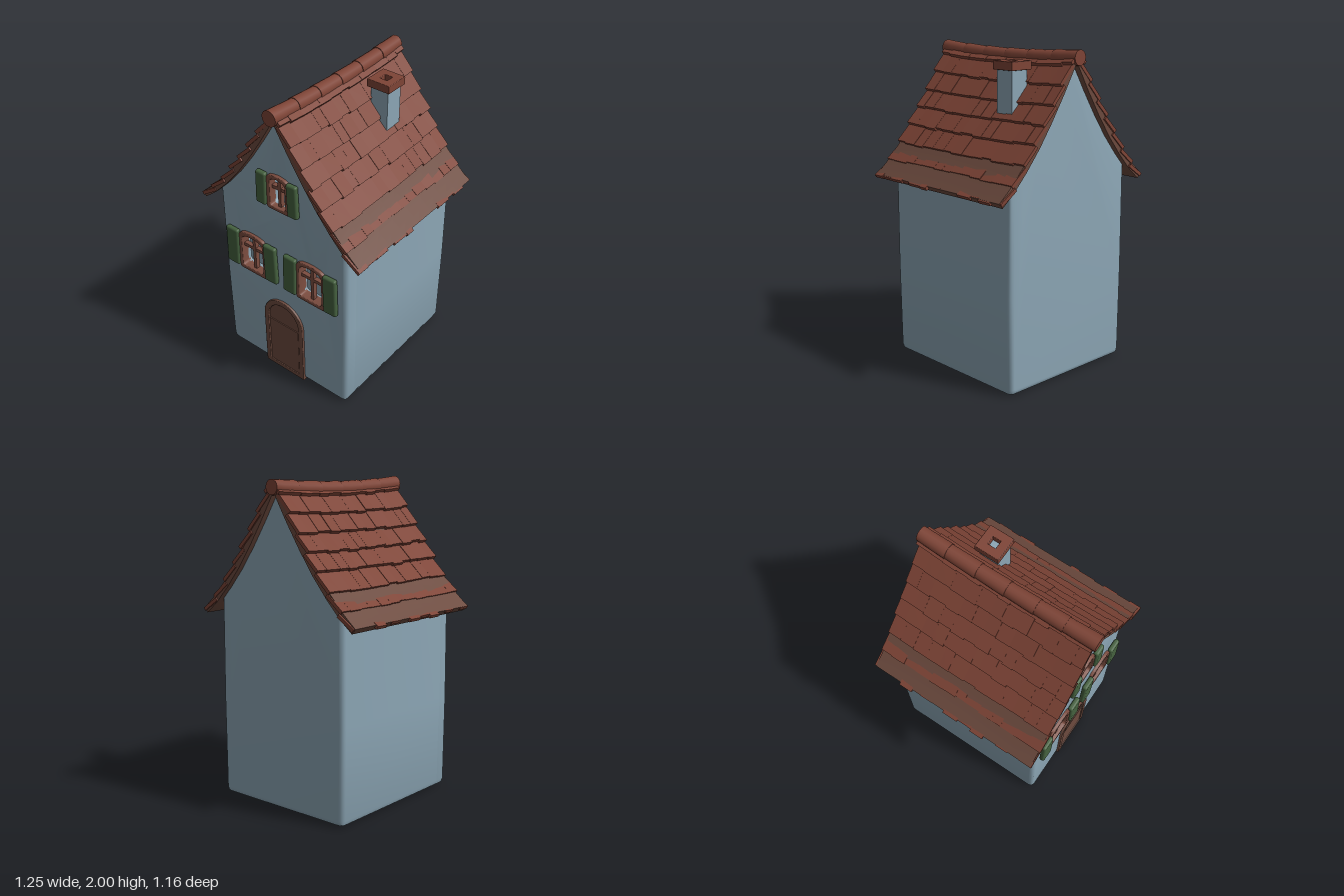
import * as THREE from 'three';
import { mergeGeometries, toCreasedNormals } from 'three/addons/utils/BufferGeometryUtils.js';
import { RoundedBoxGeometry } from 'three/addons/geometries/RoundedBoxGeometry.js';

const material = (name, color) => {
  const m = new THREE.MeshStandardMaterial({ color });
  m.name = name;
  return m;
};

let seed = 7;
const jitter = (amount) => {
  seed = (seed * 16807) % 2147483647;
  return (seed / 2147483647 * 2 - 1) * amount;
};

// Outline from half of its points, mirrored in x
const mirrored = (half) => [...half, ...half.slice().reverse().map(([x, y]) => [-x, y])];
const toShape = (points) => new THREE.Shape(points.map(([x, y]) => new THREE.Vector2(x, y)));

// Ridge sags in the middle, fading out towards the eaves
function sag(geo) {
  const p = geo.attributes.position;
  for (let i = 0; i < p.count; i++) {
    const height = THREE.MathUtils.clamp((p.getY(i) - 1.19) / 0.75, 0, 1);
    p.setY(i, p.getY(i) - 0.022 * height * (1 - (p.getZ(i) / 0.58) ** 2));
  }
  geo.computeVertexNormals();
  return geo;
}

// Extrusion between two z planes, with an optional bevel kept inside the outline
function extrude(shape, z0, z1, bevel = 0, steps = 1) {
  const geo = new THREE.ExtrudeGeometry(shape, {
    depth: z1 - z0 - 2 * bevel, steps, curveSegments: 8, bevelEnabled: bevel > 0,
    bevelThickness: bevel, bevelSize: bevel, bevelOffset: -bevel, bevelSegments: 4,
  });
  return geo.translate(0, 0, z0 + bevel);
}

// Window outline: softly arched head, small rounding below
function windowOutline(cx, cy, w, h, Type = THREE.Shape) {
  const x0 = cx - w / 2, x1 = cx + w / 2, y0 = cy - h / 2, y1 = cy + h / 2;
  const r = 0.02, a = w * 0.28, s = new Type();
  s.moveTo(x0 + r, y0);
  s.lineTo(x1 - r, y0);
  s.quadraticCurveTo(x1, y0, x1, y0 + r);
  s.lineTo(x1, y1 - a);
  s.quadraticCurveTo(x1, y1 - 0.01, x1 - a, y1 - 0.004);
  s.quadraticCurveTo(cx, y1 + 0.004, x0 + a, y1 - 0.004);
  s.quadraticCurveTo(x0, y1 - 0.01, x0, y1 - a);
  s.lineTo(x0, y0 + r);
  s.quadraticCurveTo(x0, y0, x0 + r, y0);
  return s;
}

// Round-headed door outline
function doorOutline(r, base, spring, Type = THREE.Shape) {
  const s = new Type();
  s.moveTo(-r, base);
  s.lineTo(r, base);
  s.lineTo(r, spring);
  s.absarc(0, spring, r, 0, Math.PI, false);
  s.lineTo(-r, base);
  return s;
}

export function createModel() {
  const house = new THREE.Group();
  house.name = 'house';
  const wall = material('blue plaster', 0x8ca6b5);
  const tile = material('red clay', 0x7e4436);
  const wood = material('brown wood', 0x6c4a3e);
  const frame = material('window wood', 0x7c4d40);
  const green = material('green paint', 0x45613f);

  const add = (name, geo, mat, parent = house) => {
    const mesh = new THREE.Mesh(geo, mat);
    mesh.name = name;
    parent.add(mesh);
    return mesh;
  };

  const windows = [
    { name: 'leftWindow', x: 0.23, y: 0.87, w: 0.225, h: 0.3, sw: 0.098 },
    { name: 'rightWindow', x: -0.235, y: 0.87, w: 0.225, h: 0.3, sw: 0.098 },
    { name: 'gableWindow', x: -0.002, y: 1.432, w: 0.17, h: 0.245, sw: 0.076 },
  ];
  const rim = 0.028;

  // Walls: solid body, plus a front layer pierced by the window recesses
  const section = mirrored([
    [0.455, 0.005], [0.478, 0.013], [0.488, 0.04], [0.494, 0.6], [0.49, 1.27],
    [0.4, 1.37], [0.3, 1.49], [0.2, 1.635], [0.1, 1.79], [0.01, 1.935],
  ]);
  add('body', toCreasedNormals(extrude(toShape(section), -0.525, 0.47, 0.03), 0.6), wall);
  const front = toShape(section);
  for (const w of windows) {
    front.holes.push(windowOutline(w.x, w.y, w.w - 2 * rim, w.h - 2 * rim, THREE.Path));
  }
  add('frontWall', toCreasedNormals(extrude(front, 0.405, 0.525, 0.03), 0.6), wall);

  // Windows: frame, glazing bars and shutters
  for (const { name, x, y, w, h, sw } of windows) {
    const group = new THREE.Group();
    group.name = name;
    house.add(group);
    const ring = windowOutline(x, y, w, h);
    ring.holes.push(windowOutline(x, y, w - 2 * rim, w > 0.2 ? h - 2 * rim : h - 1.8 * rim, THREE.Path));
    add('windowFrame', toCreasedNormals(extrude(ring, 0.475, 0.546, 0.006), 0.6), frame, group);
    add('uprightBar', new THREE.BoxGeometry(0.022, h - rim, 0.03).translate(x, y, 0.51), frame, group);
    add('crossBar', new THREE.BoxGeometry(w - rim, 0.022, 0.03).translate(x, y + h * 0.1, 0.508), frame, group);
    for (const side of [-1, 1]) {
      const shutter = add('shutter', new RoundedBoxGeometry(sw, h * 0.92, 0.035, 3, 0.014), green, group);
      shutter.position.set(x + side * (w / 2 + sw * 0.43), y + 0.005, 0.545);
      shutter.rotation.z = side * 0.025;
    }
  }

  // Door: arched surround, recessed leaf and a raised lower panel
  const door = new THREE.Group();
  door.name = 'door';
  door.position.x = -0.006;
  house.add(door);
  const surround = doorOutline(0.16, 0, 0.432);
  surround.holes.push(doorOutline(0.122, 0.035, 0.432, THREE.Path));
  add('doorSurround', toCreasedNormals(extrude(surround, 0.48, 0.541, 0.006), 0.6), wood, door);
  add('doorLeaf', extrude(doorOutline(0.13, 0.01, 0.432), 0.48, 0.529), wood, door);
  add('doorPanel', new THREE.BoxGeometry(0.236, 0.365, 0.02).translate(0, 0.215, 0.525), wood, door);

  // Roof deck: curved board under the tiles
  const deck = toShape([
    ...mirrored([[0.585, 1.165], [0.5, 1.235], [0.4, 1.34], [0.3, 1.46], [0.2, 1.6], [0.1, 1.755], [0.005, 1.915]]),
    ...mirrored([[0.61, 1.195], [0.53, 1.265], [0.43, 1.37], [0.33, 1.485], [0.23, 1.625], [0.13, 1.78], [0.02, 1.955]])
      .reverse(),
  ]);
  add('roofDeck', toCreasedNormals(sag(extrude(deck, -0.56, 0.56, 0, 8)), 0.5), wood);

  // Tiles: overlapping courses, given by the lower edge of each course
  const edges = [
    [0.005, 2.0], [0.068, 1.925], [0.138, 1.815], [0.207, 1.705], [0.28, 1.6],
    [0.355, 1.495], [0.435, 1.385], [0.52, 1.285], [0.615, 1.192],
  ];
  const perRow = 13, thick = 0.022;
  for (const side of [-1, 1]) {
    const tiles = [];
    for (let k = 1; k < edges.length; k++) {
      const low = new THREE.Vector2(...edges[k]);
      const high = new THREE.Vector2(...edges[k - 1]);
      const slope = low.clone().sub(high).normalize();
      const normal = new THREE.Vector2(-slope.y, slope.x);
      high.addScaledVector(normal, -0.024);
      const dir = low.clone().sub(high).normalize();
      let z = -0.568 + jitter(0.006);
      for (let i = 0; i < perRow; i++) {
        const end = i === perRow - 1 ? 0.568 + jitter(0.006) : -0.568 + (i + 1) * 1.136 / perRow + jitter(0.018);
        const tip = low.clone().addScaledVector(dir, jitter(k === 8 ? 0.013 : 0.007));
        const c = tip.clone().add(high).multiplyScalar(0.5).addScaledVector(normal, -thick / 2 + jitter(0.002));
        tiles.push(new THREE.BoxGeometry(tip.distanceTo(high) + 0.005, thick, end - z)
          .rotateX(jitter(0.02))
          .rotateZ(Math.atan2(dir.y, side * dir.x))
          .translate(side * c.x, c.y, (z + end) / 2));
        z = end;
      }
    }
    add(side > 0 ? 'leftRoofTiles' : 'rightRoofTiles', sag(mergeGeometries(tiles)), tile);
  }

  // Ridge: a row of slightly tapered round caps
  const joints = [-0.58, -0.39, -0.19, 0, 0.19, 0.375, 0.58];
  const caps = joints.slice(1).map((end, i) => {
    const length = end - joints[i];
    return new THREE.CylinderGeometry(0.05, 0.046, length, 16, 3)
      .rotateX(Math.PI / 2)
      .translate(-0.005, 1.95, joints[i] + length / 2);
  });
  add('ridgeCaps', toCreasedNormals(sag(mergeGeometries(caps)), 0.7), tile);

  // Chimney: plastered stack and a clay collar with an open flue
  add('chimneyStack', new THREE.BoxGeometry(0.122, 0.4, 0.125).translate(0.188, 1.682, -0.22), wall);
  const square = (r) => mirrored([[r, -r], [r, r]]);
  const collar = toShape(square(0.079));
  collar.holes.push(toShape(square(0.026)));
  add('chimneyCollar', extrude(collar, 0, 0.052, 0.004).rotateX(-Math.PI / 2).translate(0.186, 1.872, -0.222), tile);

  return house;
}
